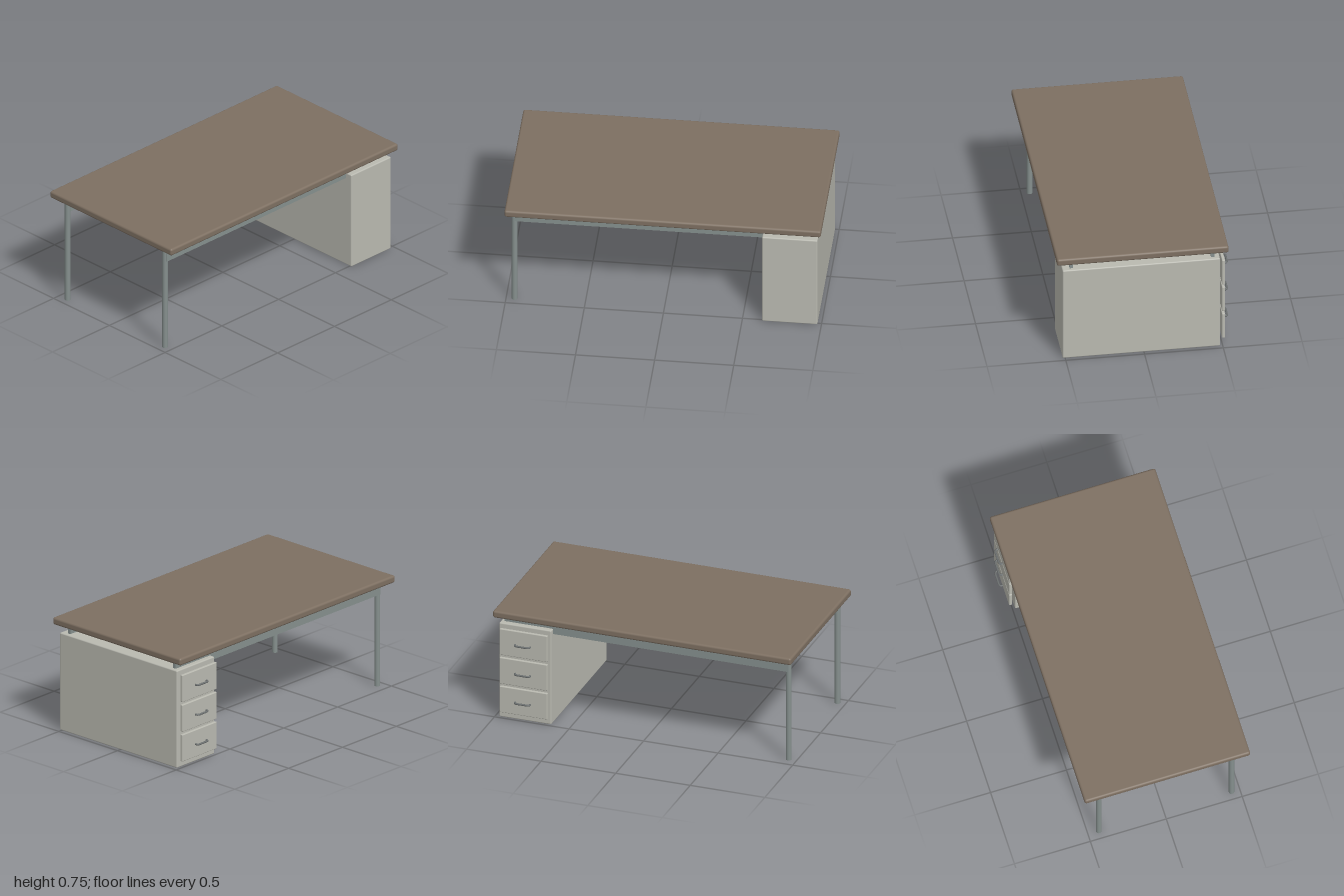
import * as THREE from 'three';
import { RoundedBoxGeometry } from 'three/addons/geometries/RoundedBoxGeometry.js';

const material = (color) => new THREE.MeshStandardMaterial({ color });

export function createModel() {
  const desk = new THREE.Group();
  desk.name = 'desk';
  const wood = material(0x7d6f61);
  const paint = material(0xb9b9b0);
  const steel = material(0x858f8d);
  const darkSteel = material(0x6c7070);

  const add = (name, geometry, mat, x, y, z, parent = desk) => {
    const mesh = new THREE.Mesh(geometry, mat);
    mesh.name = name;
    mesh.position.set(x, y, z);
    parent.add(mesh);
    return mesh;
  };

  // Worktop with softened edges
  add('tabletop', new RoundedBoxGeometry(2, 0.048, 1.09, 3, 0.014), wood, 0, 0.73, 0.01);

  // Long rails and the two round legs on the open side
  const midZ = 0.009;
  for (const [side, label] of [[1, 'front'], [-1, 'back']]) {
    add(label + 'Rail', new THREE.BoxGeometry(1.9, 0.088, 0.021), steel, 0, 0.662, midZ + side * 0.449);
    add(label + 'Leg', new THREE.CylinderGeometry(0.018, 0.018, 0.697, 24), steel, -0.947, 0.3485, midZ + side * 0.437);
  }

  // Drawer pedestal
  const pedestal = new THREE.Group();
  pedestal.name = 'pedestal';
  desk.add(pedestal);
  const cx = 0.8;
  add('cabinet', new RoundedBoxGeometry(0.35, 0.654, 1, 2, 0.008), paint, cx, 0.327, 0.016, pedestal);

  // Bowed pull shared by all drawers, bulging towards the back
  const bow = new THREE.CatmullRomCurve3([
    [-0.05, 0.019], [-0.049, 0.008], [-0.038, 0.001], [0, 0],
    [0.038, 0.001], [0.049, 0.008], [0.05, 0.019],
  ].map(([x, z]) => new THREE.Vector3(x, 0, z)));
  const pull = new THREE.TubeGeometry(bow, 40, 0.0065, 10);
  const cap = new THREE.SphereGeometry(0.0065, 10, 8);
  const front = new RoundedBoxGeometry(0.32, 0.181, 0.02, 2, 0.005);

  for (let i = 0; i < 3; i++) {
    const y = 0.138 + i * 0.2;
    add('drawerFront', front, paint, cx, y, -0.508, pedestal);
    const handle = new THREE.Group();
    handle.name = 'drawerHandle';
    handle.position.set(cx, y + 0.001, -0.547);
    pedestal.add(handle);
    add('pull', pull, darkSteel, 0, 0, 0, handle);
    for (const s of [-1, 1]) add('pullEnd', cap, darkSteel, s * 0.05, 0, 0.017, handle);
  }
  return desk;
}
